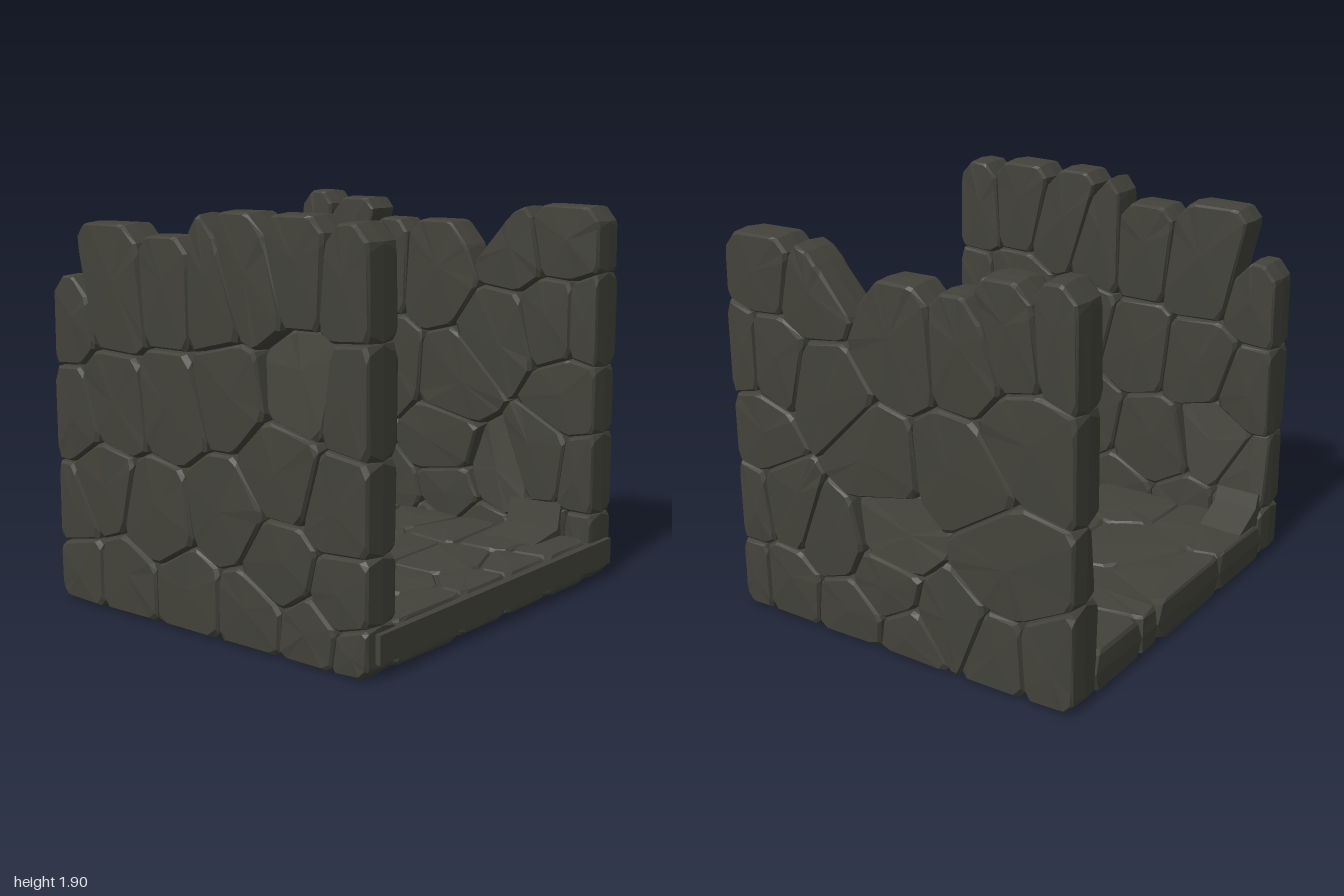
import * as THREE from 'three';

const stoneMat = new THREE.MeshStandardMaterial({ color: 0x43433b, flatShading: true });
stoneMat.name = 'dark stone';

// small seeded random
let state = 7;
const rand = () => (state = (state * 16807) % 2147483647) / 2147483647;

// keep the part of a convex polygon where nx*x + ny*y <= d
function clip(poly, nx, ny, d) {
  const out = [];
  poly.forEach((a, i) => {
    const b = poly[(i + 1) % poly.length];
    const da = nx * a[0] + ny * a[1] - d, db = nx * b[0] + ny * b[1] - d;
    if (da <= 0) out.push(a);
    if ((da < 0 && db > 0) || (da > 0 && db < 0)) {
      const t = da / (da - db);
      out.push([a[0] + (b[0] - a[0]) * t, a[1] + (b[1] - a[1]) * t]);
    }
  });
  return out;
}

// drop very short edges
function tidy(poly) {
  return poly.filter((p, i) => {
    const q = poly[(i + 1) % poly.length];
    return Math.hypot(p[0] - q[0], p[1] - q[1]) > 0.025;
  });
}

// one stone: rings of a convex cell, from its back face to its front face;
// a recessed face sinks in gradually towards the stone's top
function stoneGeometry(poly, lo, hi, recess) {
  const n = poly.length;
  const cx = poly.reduce((s, p) => s + p[0], 0) / n;
  const cy = poly.reduce((s, p) => s + p[1], 0) / n;
  const yMin = Math.min(...poly.map(p => p[1])), yMax = Math.max(...poly.map(p => p[1]));
  const sink = y => (y - yMin) / (yMax - yMin);
  const back = y => lo - Math.min(recess, 0) * sink(y);
  const front = y => hi - Math.max(recess, 0) * sink(y);
  const ring = (inset, cut, depth, bump) => {
    const pts = [];
    poly.forEach((p, i) => {
      for (const q of [poly[(i + n - 1) % n], poly[(i + 1) % n]]) {
        const x = p[0] + (q[0] - p[0]) * cut, y = p[1] + (q[1] - p[1]) * cut;
        const k = Math.min(0.5, inset / Math.hypot(cx - x, cy - y));
        pts.push([x + (cx - x) * k, y + (cy - y) * k, depth(y) + (rand() - 0.5) * bump]);
      }
    });
    return pts;
  };
  const rings = [
    ring(0.016, 0.13, y => back(y) + 0.004, 0.008), ring(0.005, 0.08, y => back(y) + 0.02, 0.01),
    ring(0, 0.015, () => (lo + hi) / 2, 0),
    ring(0.005, 0.08, y => front(y) - 0.02, 0.01), ring(0.016, 0.13, y => front(y) - 0.004, 0.008),
  ];
  const m = 2 * n, pos = rings.flat(2), idx = [];
  for (let r = 0; r < 4; r++) {
    for (let i = 0; i < m; i++) {
      const a = r * m + i, b = r * m + (i + 1) % m;
      idx.push(a, b, b + m, a, b + m, a + m);
    }
  }
  pos.push(cx, cy, back(cy) - 0.003, cx, cy, front(cy) + 0.003);
  for (let i = 0; i < m; i++) {
    const j = (i + 1) % m;
    idx.push(5 * m, j, i, 5 * m + 1, 4 * m + i, 4 * m + j);
  }
  const g = new THREE.BufferGeometry();
  g.setAttribute('position', new THREE.Float32BufferAttribute(pos, 3));
  g.setIndex(idx);
  g.computeVertexNormals();
  return g;
}

// a panel of fitted stones; seed = [u, v, top cap, recess (+ front, - back), cap slope]
function stonePanel(name, seeds, [u0, u1, v0, v1], lo, hi) {
  const group = new THREE.Group();
  group.name = name;
  const c = 0.045;
  seeds.forEach(([u, v, cap, recess = 0, slope = 0], i) => {
    let poly = [[u0 + c, v0], [u1 - c, v0], [u1, v0 + c], [u1, v1], [u0, v1], [u0, v0 + c]];
    seeds.forEach(([a, b], j) => {
      if (j !== i) poly = clip(poly, a - u, b - v, (a * a + b * b - u * u - v * v) / 2);
    });
    // stones on the top edge get a ragged height and rounded-off corners
    if (cap) {
      poly = clip(poly, -slope, 1, cap - slope * u);
      for (const [k, d] of [[-0.4, 0.03], [0.4, 0.03], [-1.2, 0.05], [1.2, 0.05]]) {
        poly = clip(poly, k, 1, Math.max(...poly.map(p => k * p[0] + p[1])) - d);
      }
    }
    const mesh = new THREE.Mesh(stoneGeometry(tidy(poly), lo, hi, recess), stoneMat);
    mesh.name = name + 'Stone' + (i + 1);
    group.add(mesh);
  });
  return group;
}

// wall seeds as [z, y, cap, recess, slope]
const leftSeeds = [
  [0.72, 1.72, 1.87], [0.42, 1.66, 1.81, 0, -0.95], [-0.04, 1.48, 1.77], [0.36, 1.2],
  [-0.41, 1.5, 1.77], [-0.65, 1.58, 1.87], [-0.86, 1.6, 1.9], [-0.72, 1.22],
  [-0.36, 0.98], [0.1, 0.94], [0.88, 1.28], [0.68, 1.28],
  [0.8, 0.92], [0.88, 0.54], [0.62, 0.58], [0.37, 0.48, 0, -0.08], [0.02, 0.58, 0, 0.08],
  [0.06, 0.33], [-0.6, 0.6, 0, -0.06], [-0.3, 0.24], [0.66, 0.15], [0.88, 0.14],
  [0.26, 0.12], [-0.08, 0.08], [-0.55, 0.14], [-0.83, 0.16],
];
const rightSeeds = [
  [0.82, 1.62, 1.88], [0.55, 1.64, 1.9], [0.3, 1.58, 1.9], [0.05, 1.5, 1.89],
  [-0.18, 1.5, 1.78], [-0.53, 1.46, 1.82], [-0.89, 1.38, 1.57], [-0.86, 0.9],
  [-0.55, 1.0], [-0.18, 1.04], [0.14, 1.12], [0.56, 1.2, 0, 0.08], [0.85, 1.16],
  [0.46, 0.8], [0.78, 0.7], [0.14, 0.58], [-0.3, 0.5], [-0.65, 0.58, 0, -0.08],
  [-0.88, 0.45, 0, -0.05], [0.44, 0.4, 0, -0.07], [0.8, 0.32], [0.62, 0.12], [0.28, 0.14],
  [-0.1, 0.15], [-0.5, 0.14], [-0.82, 0.14], [0.87, 0.08],
];
// floor seeds as [x, z]
const floorSeeds = [
  [-0.63, -0.7], [0, -0.8], [-0.2, -0.5], [0.3, -0.64], [0.62, -0.7], [0.55, -0.38],
  [-0.65, -0.28], [-0.2, -0.06], [0.3, -0.14], [0.66, 0.02], [-0.52, 0.2], [0.1, 0.18],
  [0.6, 0.24], [-0.64, 0.6], [-0.36, 0.58], [0.1, 0.57], [0.62, 0.56], [-0.5, 0.86],
  [-0.1, 0.88], [0.22, 0.87], [0.6, 0.86],
];
// sloped corner stones as [side, foot x, shoulder height, z start, z end]
const cornerStones = [[-1, 0.6, 0.3, -0.93, -0.7], [-1, 0.64, 0.28, 0.54, 0.78], [1, 0.54, 0.25, 0.46, 0.76]];

export function createModel() {
  const model = new THREE.Group();
  model.name = 'stonePassage';

  // side walls; local u runs along z, local w points outwards
  for (const [name, seeds, s] of [['leftWall', leftSeeds, 1], ['rightWall', rightSeeds, -1]]) {
    const local = seeds.map(([z, y, cap, recess, slope]) => [-s * z, y, cap, recess, slope]);
    const ends = s > 0 ? [-0.93, 0.95] : [-0.95, 0.93];
    const wall = stonePanel(name, local, [...ends, 0, 1.9], 0.79, 1);
    wall.rotation.y = s * Math.PI / 2;
    model.add(wall);
  }

  // floor stones; local v runs along -z, local w points up
  const floor = stonePanel('floor', floorSeeds.map(([x, z]) => [x, -z]), [-0.81, 0.81, -0.92, 0.95], 0.01, 0.22);
  floor.rotation.x = -Math.PI / 2;
  model.add(floor);

  // plain slab inside the floor, showing as a lip at the front
  const slab = new THREE.Mesh(new THREE.BoxGeometry(1.9, 0.13, 1.87), stoneMat);
  slab.name = 'frontSlab';
  slab.position.set(0.01, 0.135, 0.02);
  model.add(slab);

  // low hollow-sided stones between floor and walls
  for (const [s, foot, shoulder, z0, z1] of cornerStones) {
    const profile = [[0.83, 0.2], [0.83, 0.37], [0.79, 0.37], [0.765, shoulder], [foot, 0.218], [foot, 0.2]];
    const shape = new THREE.Shape(profile.map(([x, y]) => new THREE.Vector2(s * x, y)));
    const stone = new THREE.Mesh(new THREE.ExtrudeGeometry(shape, { depth: z1 - z0, bevelEnabled: false }), stoneMat);
    stone.name = 'cornerStone';
    stone.position.z = z0;
    model.add(stone);
  }
  return model;
}
